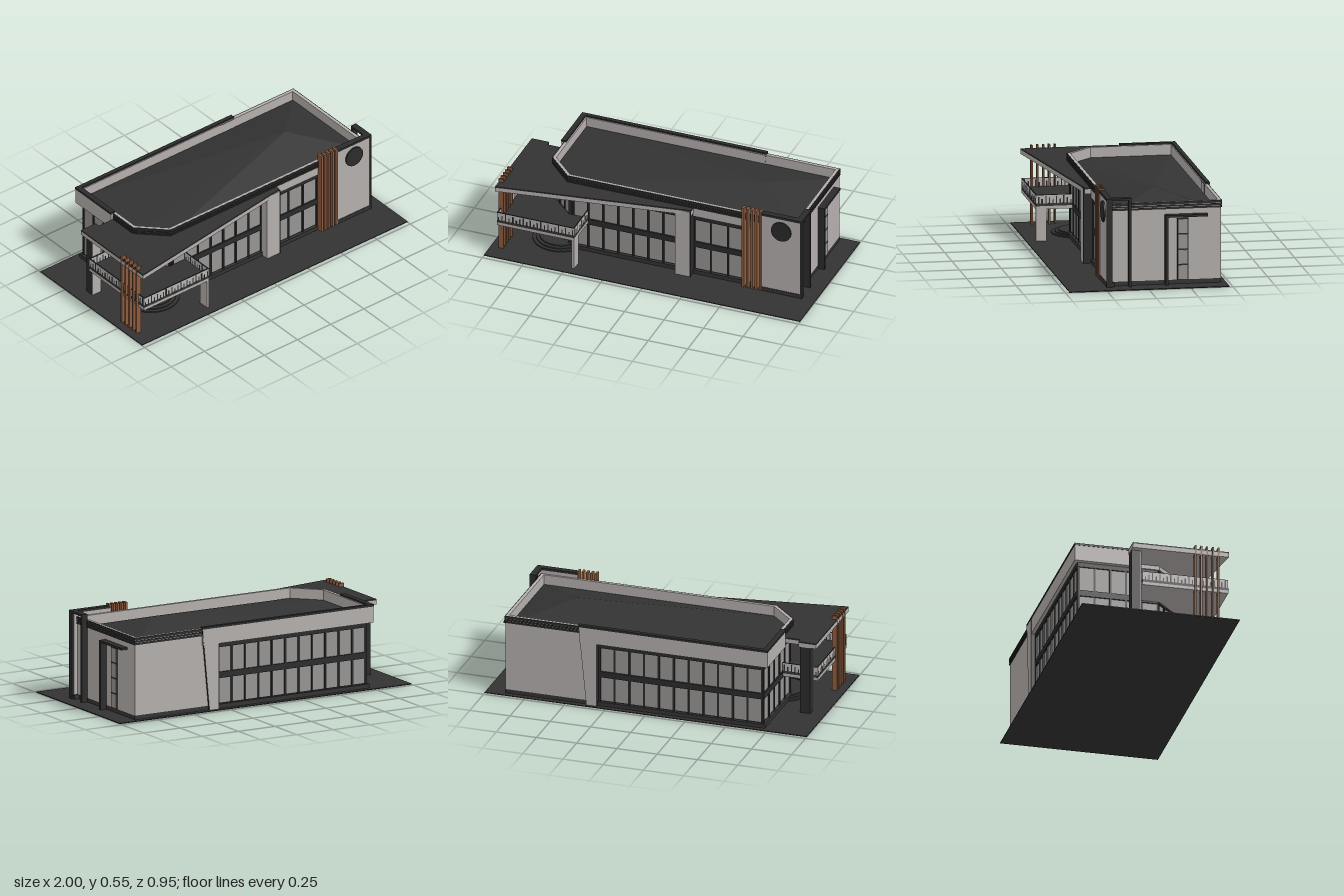
import * as THREE from 'three';

const mat = (name, color) => {
  const m = new THREE.MeshStandardMaterial({ color });
  m.name = name;
  return m;
};

export function createModel() {
  const root = new THREE.Group();
  root.name = 'officeBuilding';
  const wall = mat('paleWall', 0xb4afad);
  const dark = mat('charcoal', 0x333333);
  const trim = mat('blackTrim', 0x2b2b2b);
  const glass = mat('windowGlass', 0x989594);
  const rail = mat('railingGlass', 0xb8b5b3);
  const wood = mat('timber', 0x8d5d40);

  const add = (name, geo, material, parent = root) => {
    const m = new THREE.Mesh(geo, material);
    m.name = name;
    parent.add(m);
    return m;
  };
  // Box given by its extents on each axis
  const box = (name, material, x0, x1, y0, y1, z0, z1, parent) => {
    const g = new THREE.BoxGeometry(x1 - x0, y1 - y0, z1 - z0);
    g.translate((x0 + x1) / 2, (y0 + y1) / 2, (z0 + z1) / 2);
    return add(name, g, material, parent);
  };
  // Slab with an x,z outline and an optional hole, wound opposite to the outline
  const toShape = (pts) => pts.map(([x, z]) => new THREE.Vector2(x, -z));
  const slab = (name, material, pts, y0, y1, hole) => {
    const s = new THREE.Shape(toShape(pts));
    if (hole) s.holes.push(new THREE.Path(toShape(hole).reverse()));
    const g = new THREE.ExtrudeGeometry(s, { depth: y1 - y0, bevelEnabled: false });
    g.rotateX(-Math.PI / 2).translate(0, y0, 0);
    return add(name, g, material);
  };
  // Building outline with a cut front corner, grown by d
  const plan = (d) => [
    [-0.73 - d, -0.45 - d], [0.88 + d, -0.45 - d], [0.88 + d, 0.21 + d],
    [-0.575 - d * 0.4, 0.21 + d], [-0.73 - d, 0.055 + d * 0.4],
  ];

  // Ground, plinth and inner core
  box('ground', dark, -1, 1, 0, 0.005, -0.48, 0.475);
  slab('plinth', dark, plan(0), 0.005, 0.03);
  slab('core', trim, plan(-0.02), 0.03, 0.435);

  // Parapet band with dark strips
  slab('parapet', wall, plan(0), 0.4, 0.5, plan(-0.018));
  for (const [y0, y1] of [[0.456, 0.467], [0.471, 0.481], [0.485, 0.499]])
    slab('parapetStrip', trim, plan(0.005), y0, y1, plan(-0.002));

  // Roof rising to an off-centre peak
  const ring = plan(-0.016);
  const roofPos = [];
  ring.forEach((a, i) => {
    const b = ring[(i + 1) % ring.length];
    roofPos.push(b[0], 0.438, b[1], a[0], 0.438, a[1], 0.55, 0.525, -0.115);
  });
  const roofGeo = new THREE.BufferGeometry();
  roofGeo.setAttribute('position', new THREE.Float32BufferAttribute(roofPos, 3));
  roofGeo.computeVertexNormals();
  add('roof', roofGeo, dark);

  // Two rows of panes with mullions, from a to b with the outside on +z
  const glazing = (name, a, b, n) => {
    const g = new THREE.Group();
    g.name = name;
    const dx = b[0] - a[0], dz = b[1] - a[1], len = Math.hypot(dx, dz), w = len / n;
    g.position.set(a[0], 0, a[1]);
    g.rotation.y = Math.atan2(-dz, dx);
    for (const [y0, y1] of [[0.035, 0.185], [0.222, 0.372]])
      for (let i = 0; i < n; i++)
        box('pane', glass, i * w + 0.005, (i + 1) * w - 0.005, y0, y1, -0.002, 0.003, g);
    for (let i = 0; i <= n; i++)
      box('mullion', trim, i * w - 0.006, i * w + 0.006, 0.03, 0.4, -0.002, 0.01, g);
    for (const [y0, y1] of [[0.185, 0.222], [0.372, 0.4]])
      box('floorBand', trim, 0, len, y0, y1, -0.002, 0.012, g);
    root.add(g);
  };
  const inner = plan(-0.02);
  glazing('frontWindowsWest', [-0.545, 0.19], [0.12, 0.19], 7);
  glazing('frontWindowsEast', [0.22, 0.19], [0.54, 0.19], 3);
  glazing('backWindows', [0.3, -0.43], [-0.71, -0.43], 11);
  glazing('westWindows', inner[0], inner[4], 5);
  glazing('cornerWindows', inner[4], inner[3], 3);

  // Solid walls at the east end
  box('eastWall', wall, 0.86, 0.88, 0.03, 0.4, -0.45, 0.21);
  box('backWall', wall, 0.37, 0.88, 0.03, 0.41, -0.45, -0.43);

  // Projecting fascia and dark cap at the back and west side
  const lip = [[-0.75, -0.462], [0.42, -0.462], [0.42, -0.445], [-0.73, -0.445], [-0.73, -0.13], [-0.75, -0.13]];
  slab('backFascia', wall, lip, 0.4, 0.498);
  const cap = [[-0.752, -0.464], [0.424, -0.464], [0.424, -0.438], [-0.72, -0.438], [-0.72, -0.13], [-0.752, -0.13]];
  slab('backCap', trim, cap, 0.497, 0.51);

  // Tapered fin beside the back windows, pale face and dark edges
  const finShape = new THREE.Shape([[0.31, 0.005], [0.375, 0.005], [0.423, 0.498], [0.31, 0.498]]
    .map(([x, y]) => new THREE.Vector2(x, y)));
  const finGeo = new THREE.ExtrudeGeometry(finShape, { depth: 0.033, bevelEnabled: false });
  finGeo.translate(0, 0, -0.463);
  add('backFin', finGeo, [wall, trim]);

  // Front tower panel with round feature
  box('towerPanel', wall, 0.655, 0.905, 0.03, 0.522, 0.205, 0.235);
  box('towerBase', dark, 0.655, 0.91, 0.005, 0.03, 0.19, 0.238);
  box('towerCap', trim, 0.655, 0.918, 0.522, 0.536, 0.204, 0.24);
  box('towerEdge', trim, 0.906, 0.918, 0.005, 0.53, 0.204, 0.24);
  const disc = add('roundFeature', new THREE.CylinderGeometry(0.063, 0.063, 0.012, 32), trim);
  disc.rotation.x = Math.PI / 2;
  disc.position.set(0.787, 0.438, 0.238);

  // Bracket frames on the east side
  box('frameBeamFront', trim, 0.88, 0.918, 0.524, 0.536, 0.092, 0.21);
  box('framePostFront', trim, 0.88, 0.918, 0.005, 0.536, 0.092, 0.107);
  box('frameBeamBack', trim, 0.88, 0.922, 0.412, 0.425, -0.365, -0.115);
  box('framePostBack', trim, 0.88, 0.922, 0.005, 0.425, -0.128, -0.113);

  // Tall narrow window on the east side
  box('sideWindowFrame', trim, 0.875, 0.886, 0.03, 0.4, -0.254, -0.188);
  for (let i = 0; i < 4; i++)
    box('sideWindowPane', glass, 0.884, 0.889, 0.034 + i * 0.092, 0.117 + i * 0.092, -0.248, -0.194);

  // Timber slats
  for (let i = 0; i < 5; i++) {
    const x = 0.545 + i * 0.0275, z = 0.22 + i * 0.035;
    box('frontSlat', wood, x - 0.007, x + 0.007, 0.005, 0.545, 0.205, 0.242);
    box('sideSlat', wood, -0.952, -0.92, 0.005, 0.48, z - 0.005, z + 0.005);
  }

  // Wedge canopy over the entrance, with its supports
  const canopy = [[-0.95, -0.16], [-0.84, -0.16], [-0.84, -0.13], [-0.72, -0.13], [-0.72, 0.06],
    [-0.57, 0.2], [0.22, 0.2], [0.22, 0.245], [-0.95, 0.422]];
  slab('canopyFascia', wall, canopy, 0.425, 0.45);
  slab('canopyRoof', dark, canopy, 0.45, 0.458);
  box('frontPier', wall, 0.12, 0.212, 0.005, 0.45, 0.2, 0.254);
  box('frontPierSide', trim, 0.212, 0.219, 0.005, 0.455, 0.2, 0.255);
  box('rearPier', trim, -0.912, -0.848, 0.005, 0.426, -0.158, -0.104);
  box('rearPierFace', wall, -0.912, -0.848, 0.005, 0.426, -0.104, -0.1);

  // Balcony with glass railing
  const deck = [[-0.94, -0.1], [-0.72, -0.1], [-0.72, 0.06], [-0.57, 0.2], [-0.45, 0.2], [-0.45, 0.42], [-0.94, 0.42]];
  slab('balconySlab', wall, deck, 0.195, 0.214);
  slab('balconyDeck', dark, deck, 0.214, 0.23);
  box('balconyPost', wall, -0.466, -0.45, 0.005, 0.196, 0.355, 0.42);
  // Pale panel with thin dark bars of varied height
  const railing = (x0, x1, z0, z1) => {
    box('railingPanel', rail, x0, x1, 0.23, 0.279, z0, z1);
    box('handrail', trim, x0, x1, 0.279, 0.282, z0, z1);
    const alongX = x1 - x0 > z1 - z0;
    const n = Math.round(Math.max(x1 - x0, z1 - z0) / 0.022);
    for (let i = 0; i < n; i++) {
      const t = (i + 0.5) / n, top = 0.25 + 0.027 * ((i * 7) % 5) / 4;
      const x = alongX ? x0 + (x1 - x0) * t : (x0 + x1) / 2;
      const z = alongX ? (z0 + z1) / 2 : z0 + (z1 - z0) * t;
      box('railingBar', trim, x - 0.0036, x + 0.0036, 0.23, top, z - 0.0036, z + 0.0036);
    }
  };
  railing(-0.94, -0.45, 0.413, 0.419);
  railing(-0.457, -0.451, 0.2, 0.413);
  railing(-0.939, -0.933, -0.093, 0.413);
  railing(-0.939, -0.72, -0.099, -0.093);

  // Round entrance steps
  [0.17, 0.15, 0.13].forEach((r, i) => {
    const step = add('entranceStep', new THREE.CylinderGeometry(r, r, 0.008, 40), dark);
    step.position.set(-0.65, 0.009 + i * 0.008, 0.12);
  });
  return root;
}
